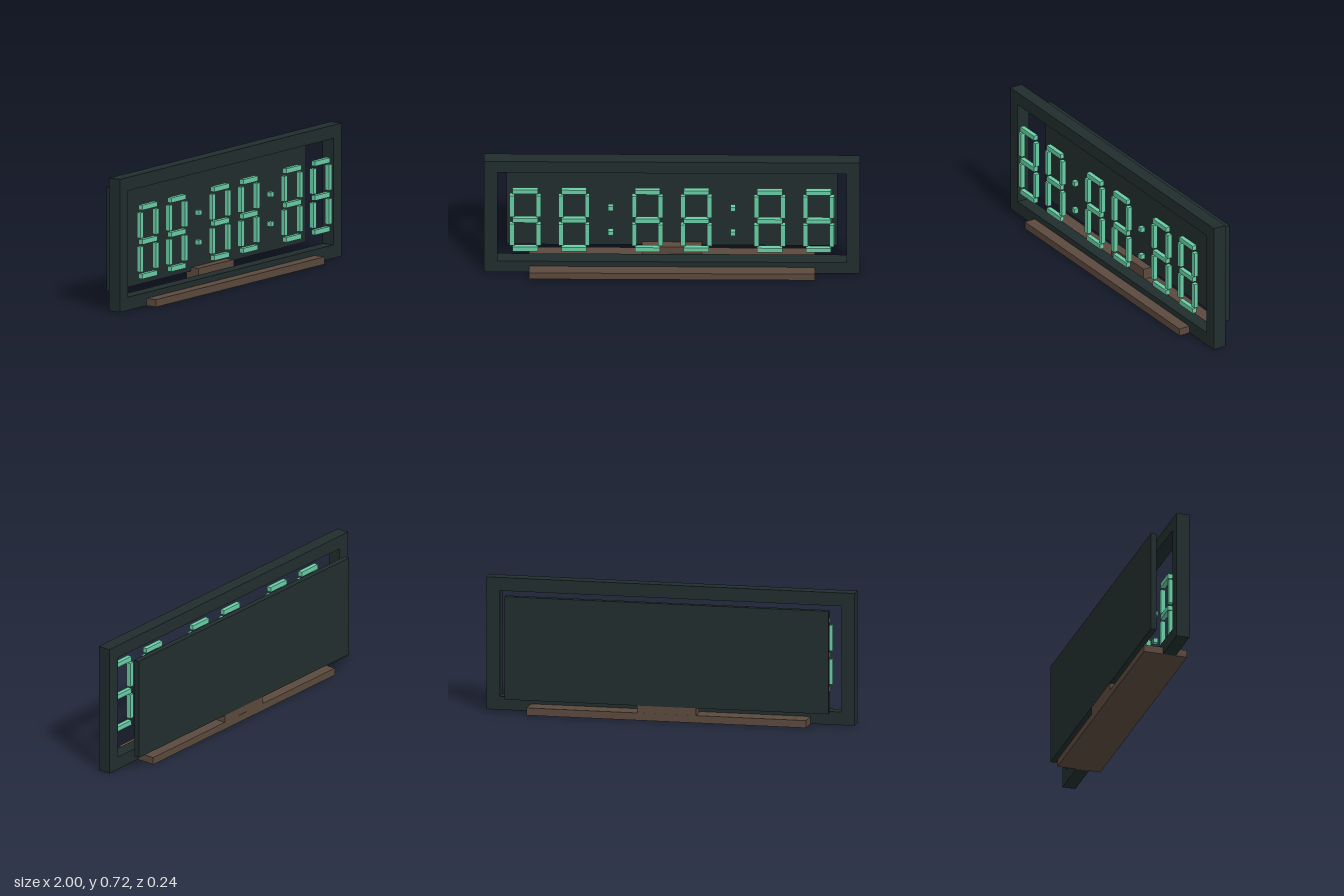
import * as THREE from 'three';

const dark = new THREE.MeshStandardMaterial({ name: 'darkCasing', color: 0x212d2d });
const brown = new THREE.MeshStandardMaterial({ name: 'brownWood', color: 0x5b493d });
const green = new THREE.MeshStandardMaterial({ name: 'mintSegment', color: 0x69cda5 });

// Box given by its min and max corners
function box(name, material, [x0, y0, z0], [x1, y1, z1]) {
  const mesh = new THREE.Mesh(new THREE.BoxGeometry(x1 - x0, y1 - y0, z1 - z0), material);
  mesh.position.set((x0 + x1) / 2, (y0 + y1) / 2, (z0 + z1) / 2);
  mesh.name = name;
  return mesh;
}

// Lit bar centred at x, y
const segment = (name, x, y, w, h) =>
  box(name, green, [x - w / 2, y - h / 2, 0.068], [x + w / 2, y + h / 2, 0.093]);

// Seven-segment digit with every bar lit
function digit(x) {
  const group = new THREE.Group();
  group.name = 'digit';
  for (const y of [0.175, 0.361, 0.547]) group.add(segment('horizontalSegment', 0, y, 0.134, 0.027));
  for (const side of [-1, 1])
    for (const y of [0.269, 0.453]) group.add(segment('verticalSegment', side * 0.07, y, 0.026, 0.138));
  group.position.x = x;
  return group;
}

// Rectangular frame with an open window
function frame() {
  const shape = new THREE.Shape();
  shape.moveTo(-1, 0.0005).lineTo(1, 0.0005).lineTo(1, 0.72).lineTo(-1, 0.72).closePath();
  const hole = new THREE.Path();
  hole.moveTo(-0.928, 0.072).lineTo(-0.928, 0.648).lineTo(0.928, 0.648).lineTo(0.928, 0.072).closePath();
  shape.holes.push(hole);
  const geometry = new THREE.ExtrudeGeometry(shape, { depth: 0.072, bevelEnabled: false });
  geometry.translate(0, 0, -0.015);
  const mesh = new THREE.Mesh(geometry, dark);
  mesh.name = 'frame';
  return mesh;
}

export function createModel() {
  const model = new THREE.Group();
  model.name = 'digitalClock';

  // Casing and stand
  model.add(frame());
  model.add(box('backPanel', dark, [-0.88, 0.08, -0.12], [0.88, 0.64, -0.088]));
  model.add(box('base', brown, [-0.76, 0, -0.12], [0.76, 0.04, 0.12]));
  model.add(box('panelSupport', brown, [-0.16, 0.04, -0.1195], [0.16, 0.1, -0.04]));

  // Display: three pairs of digits with colons between
  for (const x of [-0.78, -0.52, -0.13, 0.13, 0.52, 0.78]) model.add(digit(x));
  for (const x of [-0.325, 0.325])
    for (const y of [0.281, 0.441]) model.add(segment('colonDot', x, y, 0.027, 0.027));

  return model;
}
